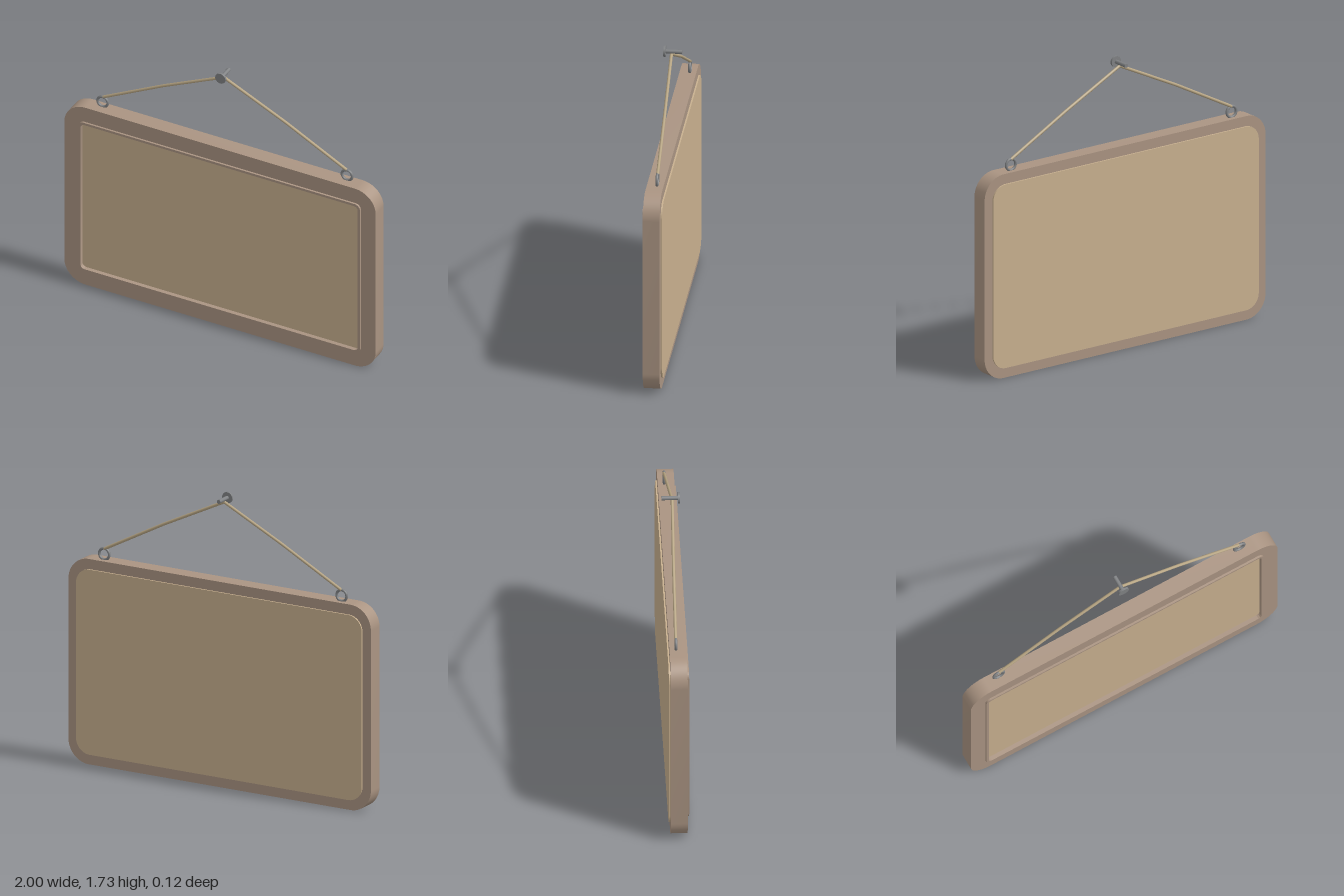
import * as THREE from 'three';
import { toCreasedNormals } from 'three/addons/utils/BufferGeometryUtils.js';

const mat = (color) => new THREE.MeshStandardMaterial({ color });
const wood = mat(0xaa9482), board = mat(0xc8b08f), metal = mat(0x808284), twine = mat(0xb8a684);
const MID_Y = 0.61;

// Rounded rectangle centred on the sign, given half sizes and corner radius
function roundedRect(w, h, r, Type = THREE.Shape) {
  const s = new Type();
  s.absarc(w - r, MID_Y + h - r, r, 0, Math.PI / 2);
  s.absarc(-w + r, MID_Y + h - r, r, Math.PI / 2, Math.PI);
  s.absarc(-w + r, MID_Y - h + r, r, Math.PI, Math.PI * 1.5);
  s.absarc(w - r, MID_Y - h + r, r, Math.PI * 1.5, Math.PI * 2);
  s.closePath();
  return s;
}

// Flat plate between two depths, with an optional rounded opening
function plate(name, material, outer, z0, z1, hole) {
  const shape = roundedRect(...outer);
  if (hole) shape.holes.push(roundedRect(...hole, THREE.Path));
  const geo = new THREE.ExtrudeGeometry(shape, { depth: z1 - z0, bevelEnabled: false, curveSegments: 10 });
  geo.translate(0, 0, z0);
  const mesh = new THREE.Mesh(toCreasedNormals(geo, 0.6), material);
  mesh.name = name;
  return mesh;
}

export function createModel() {
  const group = new THREE.Group();
  group.name = 'hangingSign';
  const add = (name, geo, material) => {
    const mesh = new THREE.Mesh(geo, material);
    mesh.name = name;
    group.add(mesh);
    return mesh;
  };

  // Sign body: frame, raised inner lip, recessed front panel and back board
  const opening = [0.89, 0.497, 0.025];
  group.add(
    plate('frame', wood, [1, 0.61, 0.135], -0.048, 0.048, opening),
    plate('innerLip', wood, [0.905, 0.512, 0.035], 0.04, 0.06, opening),
    plate('frontPanel', board, [0.895, 0.502, 0.03], -0.03, 0.035),
    plate('backBoard', board, [0.945, 0.55, 0.09], -0.057, -0.04),
  );

  // Hanging rings and the two cord halves
  for (const side of [1, -1]) {
    const label = side > 0 ? 'left' : 'right';
    add(label + 'Ring', new THREE.TorusGeometry(0.033, 0.008, 10, 24), metal)
      .position.set(side * 0.785, 1.253, -0.011);

    const path = new THREE.CurvePath();
    const points = [[0.785, 1.284, -0.012], [0.39, 1.493, -0.007], [0, 1.682, 0.002]]
      .map(([x, y, z]) => new THREE.Vector3(side * x, y, z));
    path.add(new THREE.LineCurve3(points[0], points[1]));
    path.add(new THREE.LineCurve3(points[1], points[2]));
    add(label + 'Cord', new THREE.TubeGeometry(path, 16, 0.009, 8), twine);
  }

  // Nail holding the cord
  const shaft = new THREE.CylinderGeometry(0.012, 0.012, 0.1, 12).rotateX(Math.PI / 2);
  add('nailShaft', shaft, metal).position.set(0, 1.698, -0.01);
  const head = new THREE.CylinderGeometry(0.033, 0.033, 0.012, 20).rotateX(Math.PI / 2);
  add('nailHead', head, metal).position.set(0, 1.698, 0.04);

  return group;
}
